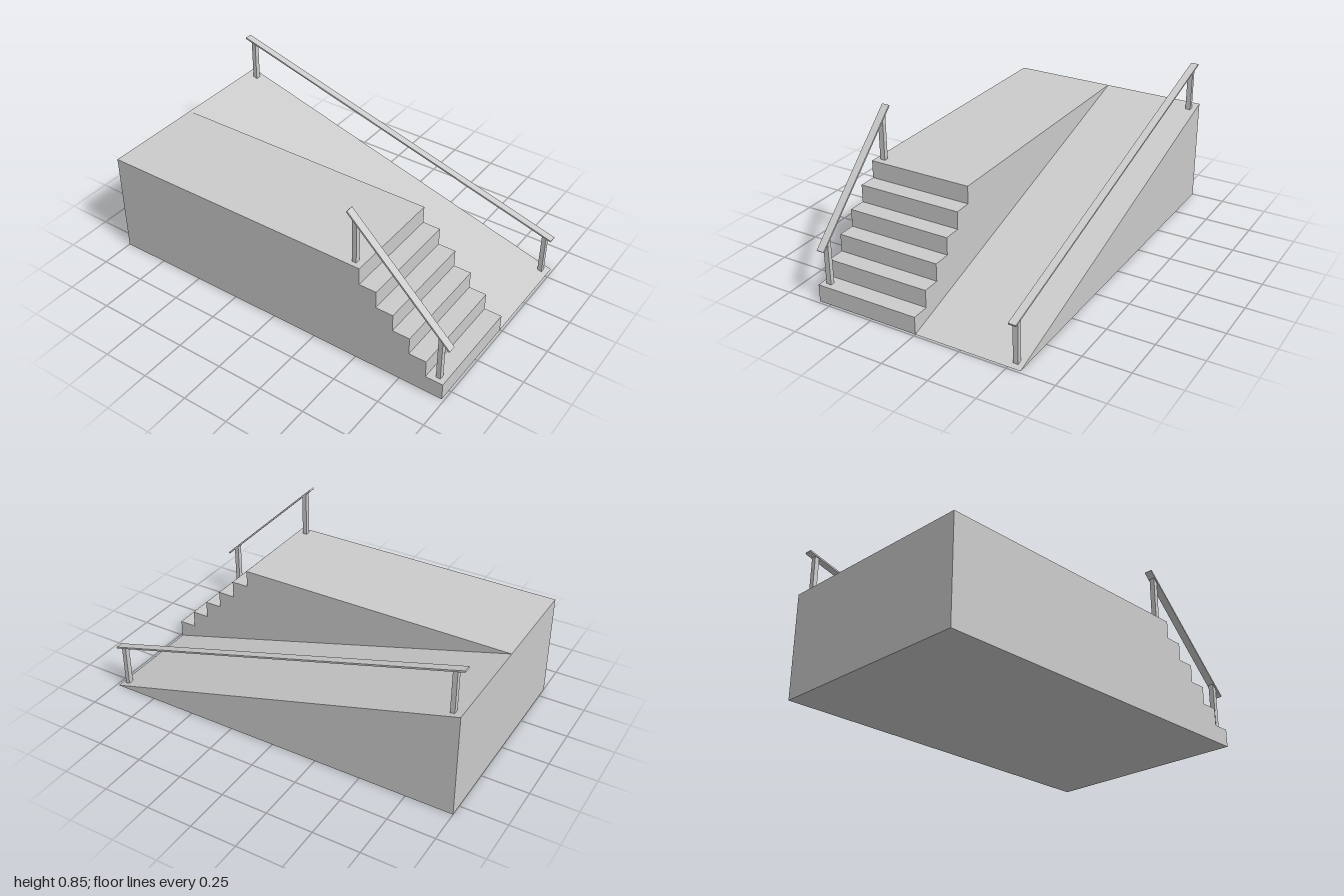
import * as THREE from 'three';

const grey = new THREE.MeshStandardMaterial({ color: 0xcccccc });

// Extrude a side profile of [z, y] points across the width, from x0 to x1
function sideExtrude(name, points, x0, x1) {
  const shape = new THREE.Shape(points.map(([z, y]) => new THREE.Vector2(z, y)));
  const geometry = new THREE.ExtrudeGeometry(shape, { depth: x1 - x0, bevelEnabled: false });
  geometry.rotateY(-Math.PI / 2).translate(x1, 0, 0);
  const mesh = new THREE.Mesh(geometry, grey);
  mesh.name = name;
  return mesh;
}

// Sloped flat rail from front [z, y] to back [z, y], carried by posts cut to its slope
function handrail(name, x, front, back, posts, baseHeight) {
  const group = new THREE.Group();
  group.name = name;
  const dz = back[0] - front[0], dy = back[1] - front[1];
  const rail = new THREE.Mesh(new THREE.BoxGeometry(0.041, 0.009, Math.hypot(dz, dy)), grey);
  rail.name = 'rail';
  rail.position.set(x, (front[1] + back[1]) / 2, (front[0] + back[0]) / 2);
  rail.rotation.x = Math.atan2(dy, -dz);
  group.add(rail);

  const railHeight = (z) => front[1] + ((z - front[0]) * dy) / dz;
  for (const z of posts) {
    const a = z - 0.012, b = z + 0.012;
    group.add(sideExtrude('railPost', [
      [a, baseHeight(a, z)], [b, baseHeight(b, z)], [b, railHeight(b)], [a, railHeight(a)],
    ], x - 0.014, x + 0.014));
  }
  return group;
}

export function createModel() {
  const model = new THREE.Group();
  model.name = 'stairsWithRamp';

  const halfWidth = 0.567, height = 0.567, frontZ = 0.987, backZ = -1;
  const steps = 6, rise = height / steps, tread = 0.0945;

  // Stair block with its flat landing
  const profile = [[backZ, 0], [frontZ, 0]];
  for (let i = 0; i < steps; i++) {
    const z = frontZ - i * tread;
    if (i > 0) profile.push([z, i * rise]);
    profile.push([z, (i + 1) * rise]);
  }
  profile.push([backZ, height]);
  model.add(sideExtrude('stairs', profile, -halfWidth, 0));

  // Ramp wedge beside the stairs
  model.add(sideExtrude('ramp', [[backZ, 0], [frontZ, 0], [backZ, height]], 0, halfWidth));

  // Handrails along the outer edges
  const stepHeight = (_, z) => (z > 0.6 ? rise : height);
  const rampHeight = (z) => (height * (frontZ - z)) / (frontZ - backZ);
  model.add(handrail('stairHandrail', -0.527, [0.997, 0.295], [0.428, 0.847], [0.946, 0.468], stepHeight));
  model.add(handrail('rampHandrail', 0.525, [0.989, 0.231], [-0.995, 0.797], [0.947, -0.947], rampHeight));

  return model;
}
